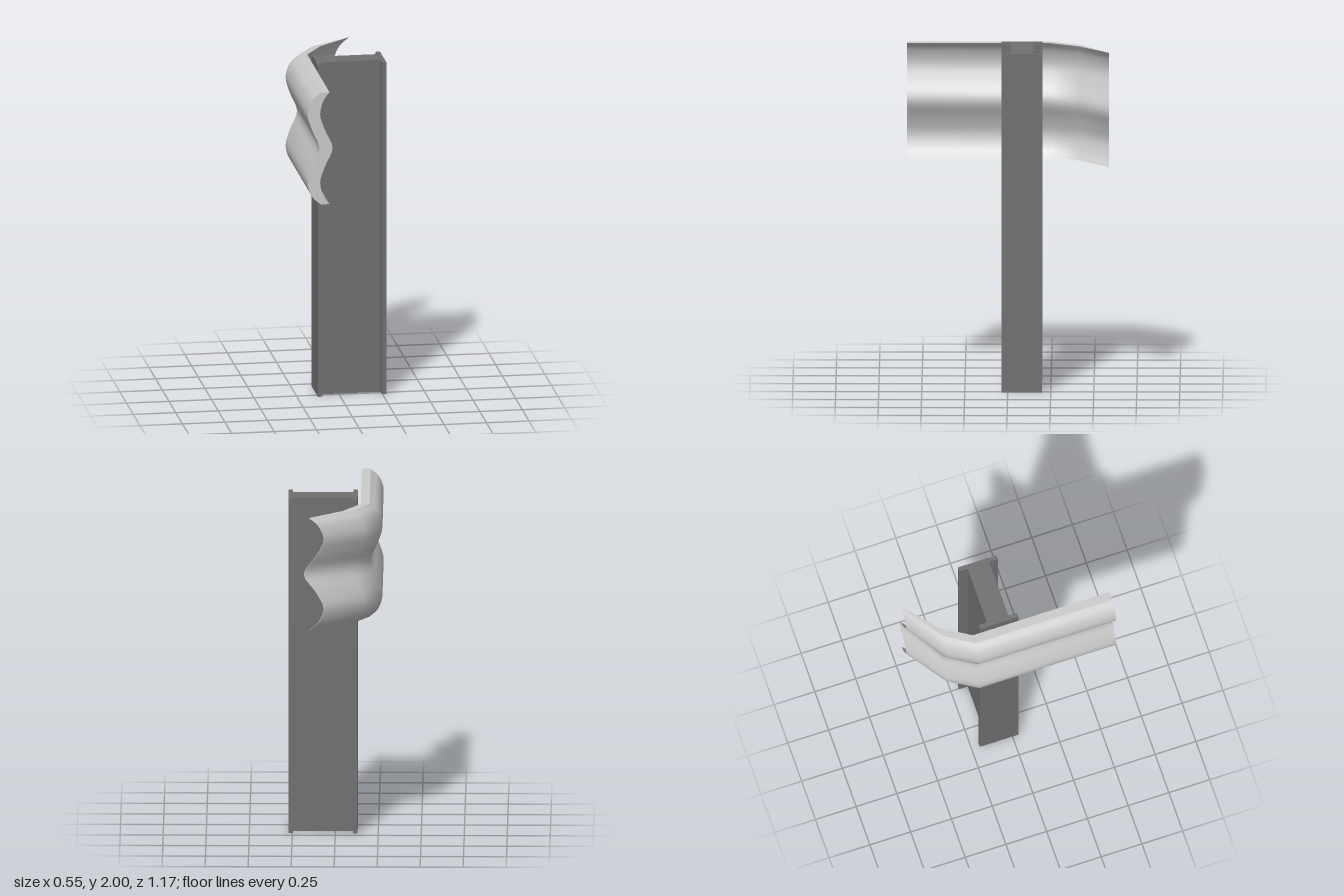
import * as THREE from 'three';

const STEPS = 32;

// Smooth wavy profile through [x, y] points, bottom to top
function wave(points) {
  const curve = new THREE.CatmullRomCurve3(points.map(([x, y]) => new THREE.Vector3(x, y, 0)));
  return curve.getPoints(STEPS);
}

// Surface through rows of points, with smooth normals inside the patch
function patch(name, rows, material) {
  const cols = rows[0].length;
  const index = [];
  for (let i = 0; i < rows.length - 1; i++) {
    for (let j = 0; j < cols - 1; j++) {
      const a = i * cols + j, b = a + cols;
      index.push(a, b, a + 1, b, b + 1, a + 1);
    }
  }
  const geometry = new THREE.BufferGeometry().setFromPoints(rows.flat());
  geometry.setIndex(index);
  geometry.computeVertexNormals();
  const mesh = new THREE.Mesh(geometry, material);
  mesh.name = name;
  return mesh;
}

function createPost() {
  const post = new THREE.Group();
  post.name = 'post';
  const material = new THREE.MeshStandardMaterial({ color: 0x707070 });
  // name, x range, z range
  const plates = [
    ['railFlange', -0.13, -0.103, -0.2, 0.037],
    ['outerFlange', 0.247, 0.273, -0.2, 0.037],
    ['web', -0.103, 0.247, -0.148, -0.016],
  ];
  for (const [name, x0, x1, z0, z1] of plates) {
    const mesh = new THREE.Mesh(new THREE.BoxGeometry(x1 - x0, 2, z1 - z0), material);
    mesh.position.set((x0 + x1) / 2, 1, (z0 + z1) / 2);
    mesh.name = name;
    post.add(mesh);
  }
  return post;
}

function createRail() {
  const rail = new THREE.Group();
  rail.name = 'guardRail';
  const material = new THREE.MeshStandardMaterial({ color: 0xcccccc });

  // Two bulges towards -x with a dent between them
  const outer = wave([
    [-0.2, 1.312], [-0.25, 1.36], [-0.275, 1.445], [-0.25, 1.54], [-0.208, 1.65],
    [-0.25, 1.76], [-0.275, 1.855], [-0.25, 1.94], [-0.2, 1.987],
  ]);
  const inner = wave([
    [-0.148, 1.312], [-0.182, 1.36], [-0.203, 1.445], [-0.175, 1.54], [-0.13, 1.65],
    [-0.175, 1.76], [-0.203, 1.855], [-0.182, 1.94], [-0.148, 1.987],
  ]);

  // Straight run, two bends, then a flare that thins to an edge
  const shift = (profile, dx, z) => profile.map((p) => new THREE.Vector3(p.x + dx, p.y, z));
  const flare = (dx) => inner.map((p) => new THREE.Vector3(0.18 + 1.58 * (p.x + 0.13) + dx, p.y, -0.587));
  const stations = [[0, 0.587], [0, -0.25], [0.103, -0.417]];
  const outside = [...stations.map(([dx, z]) => shift(outer, dx, z)), flare(-0.003)];
  const inside = [...stations.map(([dx, z]) => shift(inner, dx, z)), flare(0)];
  const last = stations.length;

  rail.add(
    patch('railBack', inside, material),
    patch('railFace', outside.map((row) => [...row].reverse()), material),
    patch('railTopEdge', inside.map((row, i) => [row[STEPS], outside[i][STEPS]]), material),
    patch('railBottomEdge', inside.map((row, i) => [outside[i][0], row[0]]), material),
    patch('railFrontEnd', [outside[0], inside[0]], material),
    patch('railFlaredEnd', [inside[last], outside[last]], material),
  );
  return rail;
}

export function createModel() {
  const model = new THREE.Group();
  model.name = 'guardRailSection';
  model.add(createPost(), createRail());
  return model;
}
